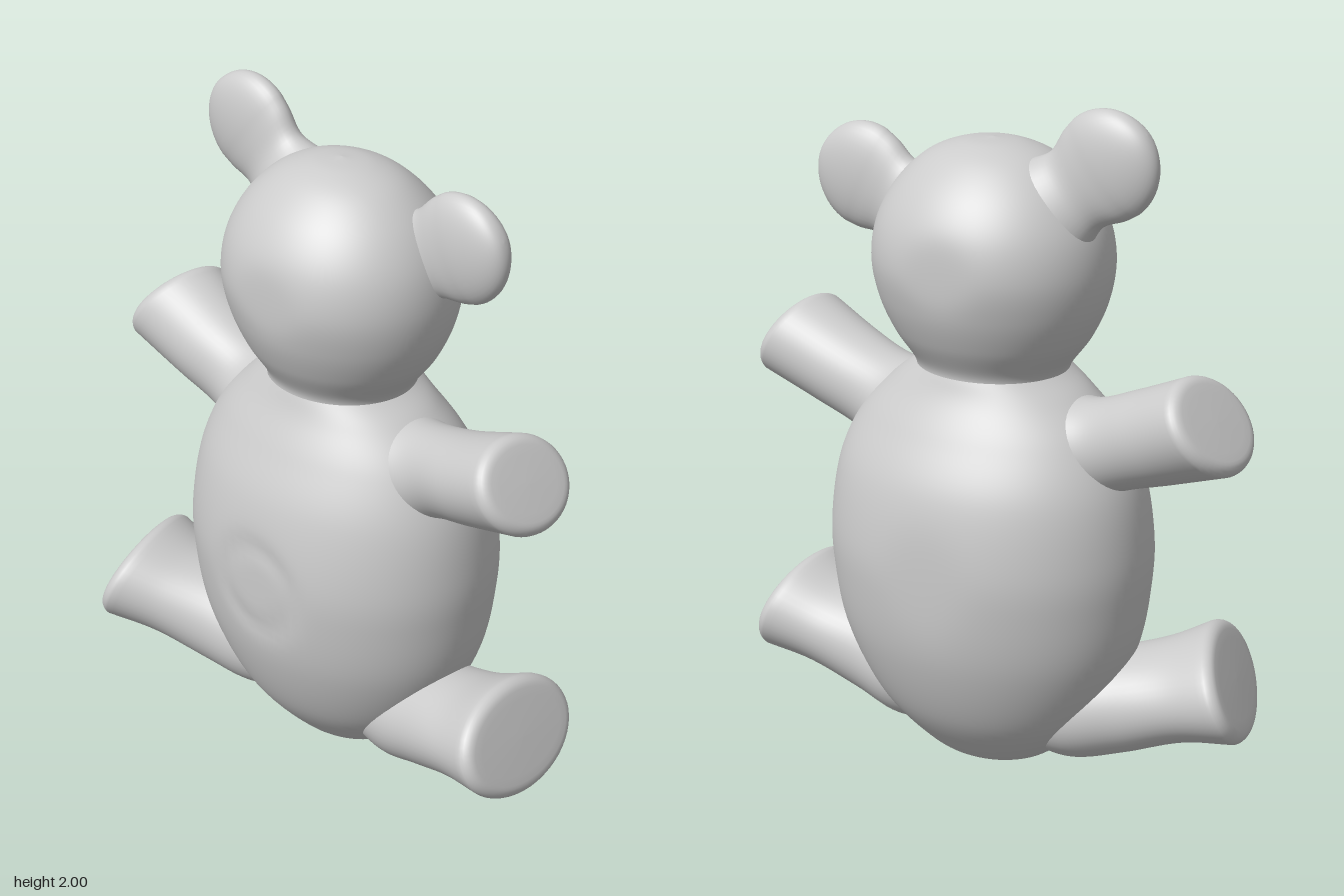
import * as THREE from 'three';

const material = new THREE.MeshStandardMaterial({ color: 0xcccccc });
const V = (x, y, z) => new THREE.Vector3(x, y, z);

// Smooth skin over elliptical rings { c: centre, u, w: half axes }
function loft(name, rings, sides = 48) {
  const pos = [], index = [];
  for (const { c, u, w } of rings) {
    for (let j = 0; j < sides; j++) {
      const a = (j / sides) * Math.PI * 2;
      const p = c.clone().addScaledVector(u, Math.cos(a)).addScaledVector(w, Math.sin(a));
      pos.push(p.x, p.y, p.z);
    }
  }
  const mid = rings[rings.length >> 1];
  const axis = rings[rings.length - 1].c.clone().sub(rings[0].c);
  const forward = mid.u.clone().cross(mid.w).dot(axis) > 0;
  for (let i = 0; i < rings.length - 1; i++) {
    for (let j = 0; j < sides; j++) {
      const k = (j + 1) % sides;
      const a = i * sides + j, b = i * sides + k, c = b + sides, d = a + sides;
      if (forward) index.push(a, b, c, a, c, d);
      else index.push(a, c, b, a, d, c);
    }
  }
  const geo = new THREE.BufferGeometry();
  geo.setAttribute('position', new THREE.Float32BufferAttribute(pos, 3));
  geo.setIndex(index);
  geo.computeVertexNormals();
  const mesh = new THREE.Mesh(geo, material);
  mesh.name = name;
  return mesh;
}

// Fill in rings between a few key rings
function smoothRings(keys, count) {
  const [c, u, w] = ['c', 'u', 'w'].map(
    (k) => new THREE.CatmullRomCurve3(keys.map((r) => r[k]), false, 'catmullrom', 0.5));
  return Array.from({ length: count + 1 }, (_, i) => ({
    c: c.getPoint(i / count), u: u.getPoint(i / count), w: w.getPoint(i / count),
  }));
}

// Body and head: rows of [y, half width, half depth, z centre]
function upright(name, rows, flat, zMid, dimpleY) {
  const keys = rows.map(([y, rx, rz, z]) => ({ c: V(0, y, z), u: V(rx, 0, 0), w: V(0, 0, rz) }));
  const mesh = loft(name, smoothRings(keys, 72), 96);
  const p = mesh.geometry.attributes.position;
  for (let i = 0; i < p.count; i++) {
    // flatten the front and back softly
    const d = p.getZ(i) - zMid, s = Math.abs(d), e = s - flat;
    let z = s - (e + Math.sqrt(e * e + 0.0002)) / 2;
    if (s < 0.1) z = s;
    // shallow ring around the belly
    if (dimpleY !== undefined && d > 0.2) {
      const r = Math.hypot(p.getX(i), p.getY(i) - dimpleY);
      z -= 0.006 * Math.exp(-(((r - 0.13) / 0.03) ** 2));
    }
    p.setZ(i, zMid + Math.sign(d) * z);
  }
  mesh.geometry.computeVertexNormals();
  return mesh;
}

// Limb with a flat, round-edged end. Rows: [cx, cy, cz, ux, uy, wx, wz], root to tip
function limb(name, side, rows) {
  const rings = smoothRings(rows.map(([x, y, z, ux, uy, wx, wz]) => ({
    c: V(side * x, y, z), u: V(side * ux, uy, 0), w: V(side * wx, 0, wz),
  })), 28);
  const tip = rings[rings.length - 1];
  const n = tip.u.clone().cross(tip.w).normalize();
  if (n.x * side < 0) n.negate();
  const r = 0.035;
  const end = (push, inset) => {
    const shrink = (v) => v.clone().multiplyScalar(Math.max(0, 1 - inset / v.length()));
    rings.push({ c: tip.c.clone().addScaledVector(n, push), u: shrink(tip.u), w: shrink(tip.w) });
  };
  for (let i = 1; i <= 6; i++) {
    const a = (i / 6) * Math.PI / 2;
    end(r * Math.sin(a), r * (1 - Math.cos(a)));
  }
  end(r + 0.002, 0.06);
  end(r + 0.003, 1);
  return loft(name, rings);
}

// Thin round ear on a short stem pointing away from the head
function ear(name, x, y, z) {
  const d = V(x, y - 1.53, 0).normalize(), across = V(-d.y, d.x, 0);
  const ring = (s, half, thick) => ({
    c: V(x, y, z).addScaledVector(d, s),
    u: across.clone().multiplyScalar(half),
    w: V(0, 0, thick),
  });
  const stem = smoothRings([
    ring(-0.24, 0.17, 0.13), ring(-0.16, 0.135, 0.085), ring(-0.11, 0.127, 0.066),
    ring(-0.05, 0.148, 0.063), ring(0, 0.157, 0.064),
  ], 16);
  const disc = Array.from({ length: 16 }, (_, i) => {
    const a = ((i + 1) / 16) * Math.PI / 2, k = Math.max(0, Math.cos(a));
    return ring(0.157 * Math.sin(a), 0.157 * k, 0.064 * Math.pow(k, 0.75));
  });
  return loft(name, [...stem, ...disc], 40);
}

export function createModel() {
  const bear = new THREE.Group();
  bear.name = 'teddyBear';

  bear.add(upright('body', [
    [0, 0, 0, -0.015], [0.012, 0.12, 0.09, -0.015], [0.06, 0.22, 0.16, -0.015],
    [0.2, 0.355, 0.27, -0.015], [0.4, 0.455, 0.35, -0.015], [0.6, 0.49, 0.385, -0.015],
    [0.75, 0.492, 0.385, -0.015], [0.92, 0.465, 0.35, -0.015], [1.06, 0.4, 0.285, -0.01],
    [1.16, 0.305, 0.23, -0.006], [1.22, 0.225, 0.205, -0.005],
  ], 0.375, -0.017, 0.65));

  bear.add(upright('head', [
    [1.2, 0.22, 0.2, -0.005], [1.24, 0.235, 0.207, -0.005], [1.32, 0.293, 0.254, -0.005],
    [1.42, 0.337, 0.295, -0.005], [1.53, 0.353, 0.318, -0.005], [1.64, 0.335, 0.3, -0.005],
    [1.74, 0.28, 0.245, -0.005], [1.82, 0.195, 0.165, -0.005], [1.86, 0.1, 0.085, -0.005],
    [1.872, 0, 0, -0.005],
  ], 0.305, -0.005));

  bear.add(ear('rightEar', -0.377, 1.843, -0.04), ear('leftEar', 0.402, 1.716, -0.04));

  // Arms
  bear.add(limb('leftArm', 1, [
    [0.14, 0.99, 0, -0.05, 0.17, 0, 0.18], [0.28, 1.02, 0.005, -0.06, 0.15, 0, 0.16],
    [0.39, 1.055, 0.02, -0.055, 0.122, 0, 0.13], [0.54, 1.1, 0.045, -0.06, 0.118, -0.01, 0.138],
    [0.715, 1.163, 0.068, -0.07, 0.122, -0.02, 0.155],
  ]));
  bear.add(limb('rightArm', -1, [
    [0.14, 0.99, 0, -0.05, 0.17, 0, 0.18], [0.28, 1.02, -0.01, -0.06, 0.15, 0, 0.16],
    [0.4, 1.05, -0.025, -0.06, 0.122, 0, 0.13], [0.54, 1.1, -0.035, -0.07, 0.122, 0.01, 0.14],
    [0.705, 1.165, -0.052, -0.085, 0.124, 0.025, 0.157],
  ]));

  // Legs
  bear.add(limb('leftLeg', 1, [
    [0.12, 0.2, 0, 0, 0.13, 0, 0.13], [0.28, 0.205, 0.005, 0, 0.158, 0, 0.165],
    [0.42, 0.24, 0.02, -0.01, 0.152, 0, 0.172], [0.565, 0.28, 0.032, -0.035, 0.137, 0, 0.195],
    [0.7, 0.317, 0.04, -0.06, 0.152, 0, 0.228],
  ]));
  bear.add(limb('rightLeg', -1, [
    [0.12, 0.2, 0, 0, 0.13, 0, 0.13], [0.28, 0.205, 0.02, 0, 0.158, -0.02, 0.165],
    [0.42, 0.24, 0.06, -0.01, 0.155, -0.04, 0.168], [0.56, 0.287, 0.105, -0.04, 0.14, -0.05, 0.185],
    [0.69, 0.325, 0.14, -0.07, 0.152, -0.06, 0.222],
  ]));

  return bear;
}
